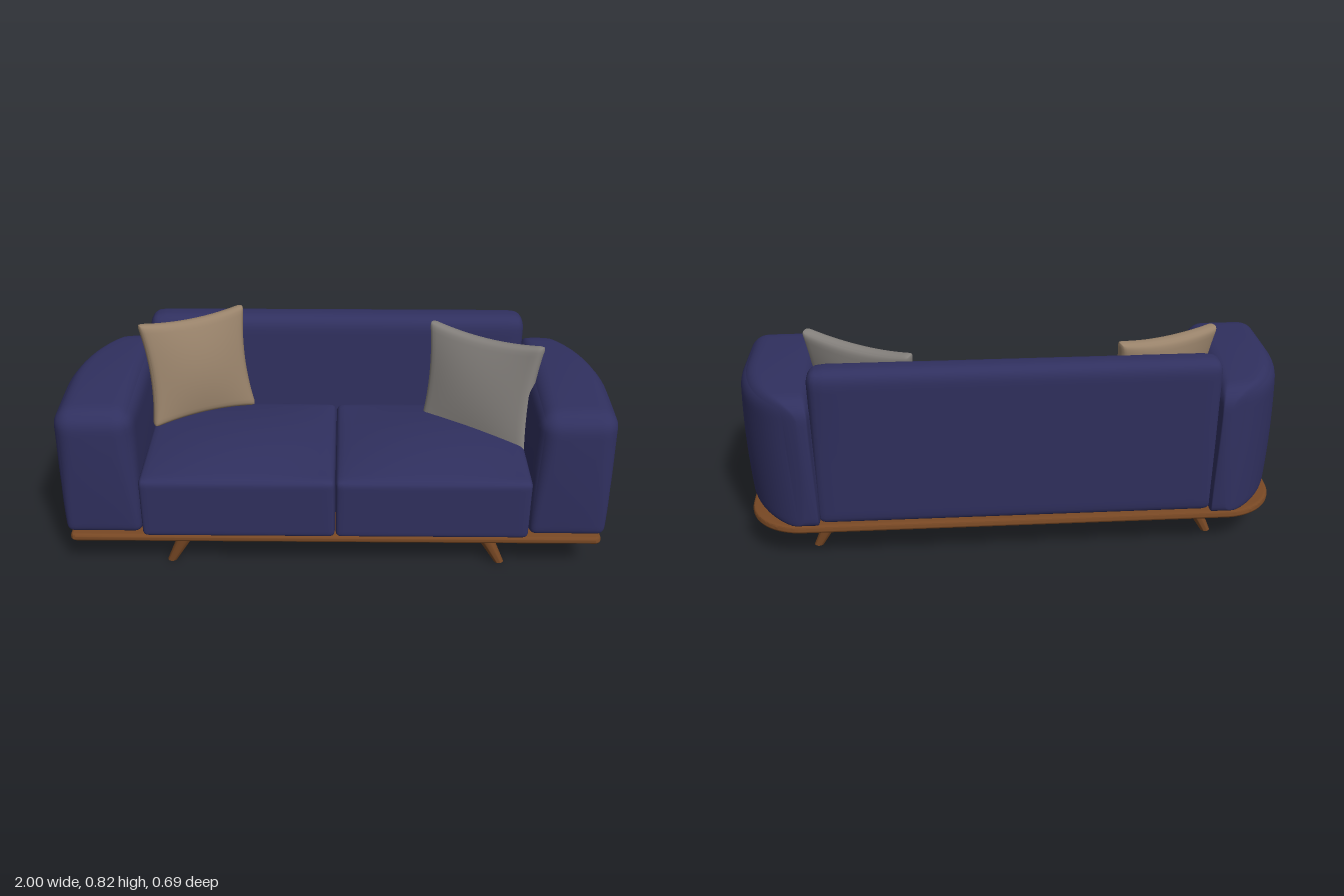
import * as THREE from 'three';
import { mergeVertices, toCreasedNormals } from 'three/addons/utils/BufferGeometryUtils.js';

const material = (name, color) => Object.assign(new THREE.MeshStandardMaterial({ color }), { name });

// Soft rounded box, denser towards its edges, with radius rTop above and rBottom below.
// warp(v, u) shapes it further; u is the position on the box from -1 to 1.
function cushion(w, h, d, rTop, rBottom, warp, n = 22) {
  const geo = new THREE.BoxGeometry(2, 2, 2, n, n, n);
  geo.deleteAttribute('normal');
  geo.deleteAttribute('uv');
  const merged = mergeVertices(geo);
  const pos = merged.attributes.position;
  const half = new THREE.Vector3(w / 2, h / 2, d / 2);
  const u = new THREE.Vector3(), v = new THREE.Vector3(), core = new THREE.Vector3();
  for (let i = 0; i < pos.count; i++) {
    u.fromBufferAttribute(pos, i);
    for (const k of ['x', 'y', 'z']) u[k] = Math.sin(u[k] * Math.PI / 2);
    v.copy(u).multiply(half);
    const r = THREE.MathUtils.lerp(rBottom, rTop, THREE.MathUtils.smoothstep(u.y, -0.8, 0.8));
    for (const k of ['x', 'y', 'z']) core[k] = THREE.MathUtils.clamp(v[k], r - half[k], half[k] - r);
    v.sub(core).setLength(r).add(core);
    if (warp) warp(v, u);
    pos.setXYZ(i, v.x, v.y, v.z);
  }
  merged.computeVertexNormals();
  return merged;
}

const dome = (a, b) => (1 - a * a) * (1 - b * b);

export function createModel() {
  const model = new THREE.Group();
  model.name = 'sofa';
  const navy = material('navy fabric', 0x30305f);
  const wood = material('brown wood', 0x784824);
  const beige = material('beige fabric', 0x98826a);
  const grey = material('grey fabric', 0x84807c);

  const add = (name, geo, mat, x = 0, y = 0, z = 0) => {
    const mesh = new THREE.Mesh(geo, mat);
    mesh.name = name;
    mesh.position.set(x, y, z);
    model.add(mesh);
    return mesh;
  };

  // Wooden platform with broad rounded back corners
  const X = 0.98, F = 0.33, B = -0.325, R = 0.2, r = 0.02;
  const plan = new THREE.Shape();
  plan.moveTo(-X + R, B);
  plan.lineTo(X - R, B);
  plan.absarc(X - R, B + R, R, -Math.PI / 2, 0);
  plan.lineTo(X, F - r);
  plan.absarc(X - r, F - r, r, 0, Math.PI / 2);
  plan.lineTo(-X + r, F);
  plan.absarc(-X + r, F - r, r, Math.PI / 2, Math.PI);
  plan.lineTo(-X, B + R);
  plan.absarc(-X + R, B + R, R, Math.PI, Math.PI * 1.5);
  const slab = new THREE.ExtrudeGeometry(plan, {
    depth: 0.006, bevelThickness: 0.012, bevelSize: 0.012, bevelOffset: -0.012,
    bevelSegments: 4, curveSegments: 14,
  });
  slab.rotateX(Math.PI / 2);
  add('platform', toCreasedNormals(slab, 0.7), wood, 0, 0.148, 0);

  for (const side of [-1, 1]) {
    const label = side > 0 ? 'left' : 'right';

    // Tapered legs, splayed outwards
    for (const [name, x, z] of [['FrontLeg', 0.585, 0.26], ['BackLeg', 0.705, -0.19]]) {
      const leg = new THREE.CylinderGeometry(0.033, 0.018, 0.135, 24);
      const p = leg.attributes.position;
      for (let i = 0; i < p.count; i++) p.setX(i, p.getX(i) - side * p.getY(i) * 0.52);
      leg.computeVertexNormals();
      add(label + name, toCreasedNormals(leg, 0.7), wood, side * x, 0.0675, z);
    }

    // Arm: crowned top, outer side sweeping round to the back
    const arm = cushion(0.28, 0.5, 0.66, 0.065, 0.028, (v, u) => {
      v.x *= side;
      const s = THREE.MathUtils.clamp((0.06 - v.z) / 0.4, 0, 0.985);
      v.x = -0.14 + (v.x + 0.14) * Math.sqrt(1 - s * s);
      v.x += 0.01 * u.x * side * dome(u.y, u.z);
      v.z += 0.008 * u.z * dome(u.x, u.y);
      if (u.y > 0) v.y += 0.017 * u.y * dome(u.x * 0.8, u.z * 0.9);
      v.x *= side;
    }, 26);
    add(label + 'Arm', arm, navy, side * 0.852, 0.413, -0.009);

    // Seat cushion with a domed top
    const seat = cushion(0.706, 0.245, 0.57, 0.025, 0.02, (v, u) => {
      if (u.y > 0) v.y += 0.036 * u.y * dome(u.x, u.z);
    });
    add(label + 'SeatCushion', seat, navy, side * 0.354, 0.2875, 0.06);
  }

  // Backrest, leaning slightly backwards
  const back = cushion(1.44, 0.615, 0.125, 0.052, 0.03, (v) => {
    v.z += (0.3 - v.y) * 0.04;
  });
  add('backrest', back, navy, 0, 0.4725, -0.284);

  // Throw pillows: pinched sides, pointed corners and puffed faces
  const pillow = (name, mat, size, x, y, z, yaw, roll) => {
    const geo = cushion(size, size, 0.05, 0.022, 0.022, (v, u) => {
      v.x *= 1 - 0.1 * (1 - u.y * u.y);
      v.y *= 1 - 0.1 * (1 - u.x * u.x);
      v.z += 0.03 * u.z * dome(u.x, u.y);
    });
    const mesh = add(name, geo, mat, x, y, z);
    mesh.rotation.set(-0.18, yaw, roll, 'YXZ');
  };
  pillow('beigePillow', beige, 0.415, -0.53, 0.618, -0.14, 0.41, 0.02);
  pillow('greyPillow', grey, 0.465, 0.54, 0.56, -0.056, -0.55, 0.02);

  return model;
}
